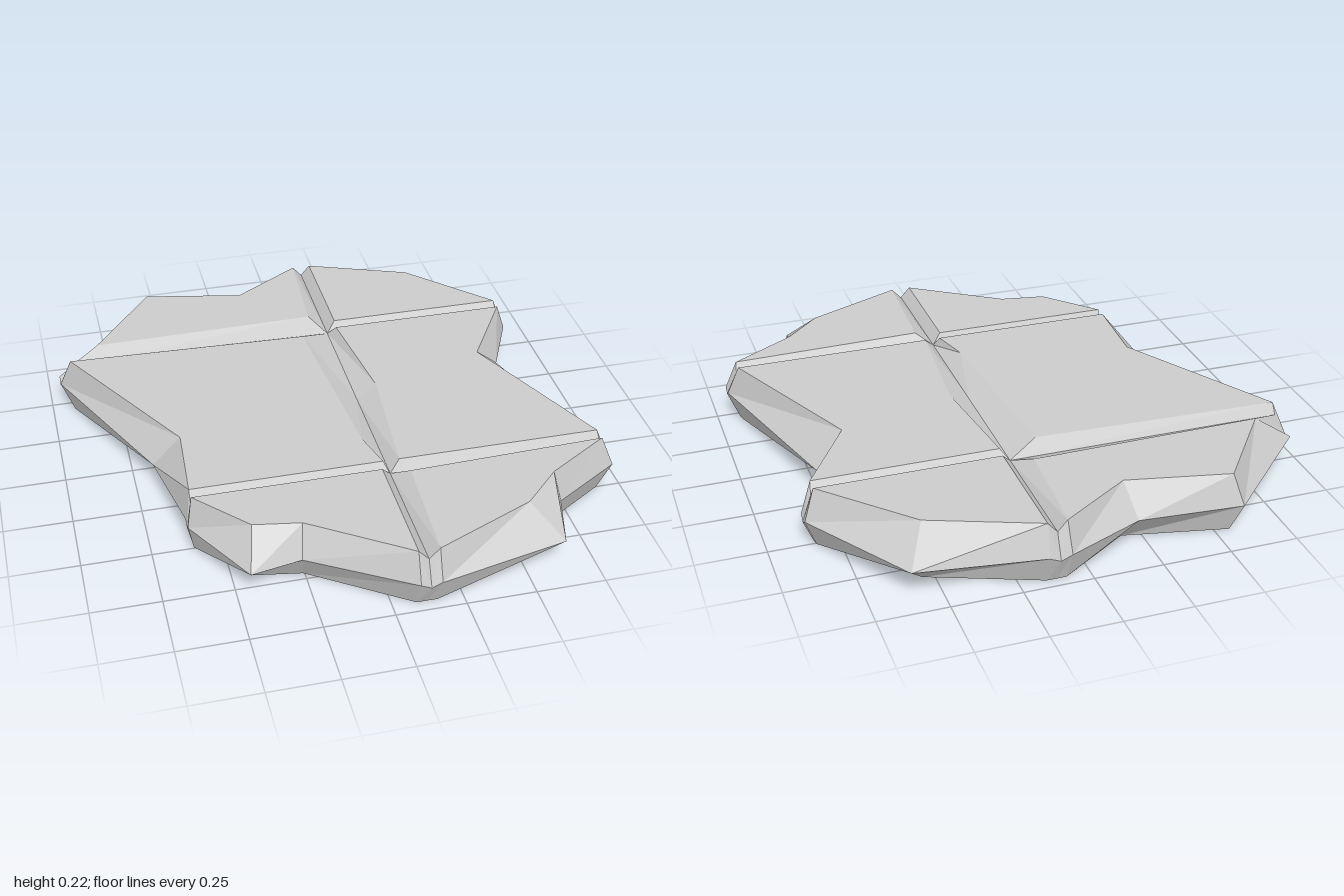
import * as THREE from 'three';

const TOP = 0.225, MID = 0.112, NOTCH = 0.095, GROOVE = 0.185;
const material = new THREE.MeshStandardMaterial({ color: 0xcccccc, flatShading: true });

// Rim corners, clockwise from above: x, z at mid height, then x, z of the bevelled top corner
const rims = {
  backRight: [[0.16, -1, 0.155, -0.96], [0.61, -0.935, 0.54, -0.81], [0.87, -0.53, 0.83, -0.505]],
  middleRight: [[0.87, -0.47, 0.83, -0.455], [0.755, -0.22, 0.645, -0.15], [0.955, 0.47, 0.91, 0.45]],
  frontRight: [[0.955, 0.52, 0.91, 0.5], [0.695, 0.68, 0.67, 0.65], [0.635, 0.895, 0.53, 0.79], [0.16, 1, 0.16, 0.955]],
  frontLeft: [[0.085, 1, 0.085, 0.955], [-0.27, 0.78, -0.255, 0.72], [-0.455, 0.815, -0.425, 0.69], [-0.62, 0.52, -0.6, 0.495]],
  middleLeft: [[-0.62, 0.47, -0.6, 0.45], [-0.685, 0.13, -0.58, 0.14], [-0.96, -0.475, -0.915, -0.455]],
  backLeft: [[-0.96, -0.53, -0.8, -0.545], [-0.585, -0.91, -0.555, -0.87], [-0.205, -0.88, -0.18, -0.79], [0.08, -1, 0.085, -0.96]],
};

// Groove ends: x, z on the rim, then x, z where the groove floor begins
const ends = {
  back: [0.12, -1, 0.12, -0.96],
  rightBack: [0.872, -0.5, 0.835, -0.48],
  rightFront: [0.955, 0.495, 0.915, 0.475],
  front: [0.122, 1, 0.122, 0.955],
  leftFront: [-0.62, 0.495, -0.6, 0.475],
  leftBack: [-0.96, -0.5, -0.915, -0.48],
};

// Panels: rim, first and last groove end, inner corners (groove floor x, z; top x, z)
const panels = [
  ['backRight', 'back', 'rightBack', [[0.12, -0.48, 0.155, -0.505]]],
  ['middleRight', 'rightBack', 'rightFront', [[0.12, 0.475, 0.16, 0.45], [0.12, 0, 0.2, -0.03], [0.12, -0.48, 0.15, -0.455]]],
  ['frontRight', 'rightFront', 'front', [[0.12, 0.475, 0.18, 0.525]]],
  ['frontLeft', 'front', 'leftFront', [[0.12, 0.475, 0.085, 0.495]]],
  ['middleLeft', 'leftFront', 'leftBack', [[0.12, -0.48, 0.005, -0.42], [0.12, 0, 0.06, 0.3], [0.12, 0.475, 0.1, 0.45]]],
  ['backLeft', 'leftBack', 'back', [[0.12, -0.48, 0.06, -0.56]]],
];

const v = (x, y, z) => new THREE.Vector3(x, y, z);

// Loft between two clockwise rings, with a flat cap on the upper or lower one
function loft(name, lower, upper, capTop) {
  const positions = [];
  const tri = (a, b, c) => {
    const area = b.clone().sub(a).cross(c.clone().sub(a)).length();
    if (area > 1e-7) for (const p of [a, b, c]) positions.push(p.x, p.y, p.z);
  };
  lower.forEach((a, i) => {
    const j = (i + 1) % lower.length;
    tri(lower[j], a, upper[i]);
    tri(lower[j], upper[i], upper[j]);
  });
  const ring = (capTop ? upper : lower).filter((p, i, r) => p.distanceTo(r[(i + 1) % r.length]) > 1e-6);
  const flat = ring.map(p => new THREE.Vector2(p.x, p.z));
  for (const [a, b, c] of THREE.ShapeUtils.triangulateShape(flat, [])) {
    const up = flat[b].clone().sub(flat[a]).cross(flat[c].clone().sub(flat[a])) < 0;
    if (up === capTop) tri(ring[a], ring[b], ring[c]);
    else tri(ring[a], ring[c], ring[b]);
  }
  const geometry = new THREE.BufferGeometry();
  geometry.setAttribute('position', new THREE.Float32BufferAttribute(positions, 3));
  geometry.computeVertexNormals();
  const mesh = new THREE.Mesh(geometry, material);
  mesh.name = name;
  return mesh;
}

export function createModel() {
  const group = new THREE.Group();
  group.name = 'crackedStoneSlab';
  const baseLower = [], baseUpper = [];

  for (const [name, from, to, inner] of panels) {
    const rim = rims[name], a = ends[from], b = ends[to];
    const lower = [], upper = [];
    const add = (x, y, z, tx, tz) => {
      lower.push(v(x, y, z));
      upper.push(v(tx, TOP, tz));
    };
    const first = rim[0].slice(2), last = rim[rim.length - 1].slice(2);

    // Raised panel: around the rim, then back along the grooves
    add(a[0], NOTCH, a[1], ...first);
    for (const [x, z, tx, tz] of rim) add(x, MID, z, tx, tz);
    add(b[0], NOTCH, b[1], ...last);
    add(b[2], GROOVE, b[3], ...last);
    for (const [x, z, tx, tz] of inner) add(x, GROOVE, z, tx, tz);
    add(a[2], GROOVE, a[3], ...first);
    group.add(loft(name + 'Panel', lower, upper, true));

    // Matching stretch of the undercut base
    baseUpper.push(v(a[0], NOTCH, a[1]));
    baseLower.push(v(a[2], 0, a[3]));
    for (const [x, z, tx, tz] of rim) {
      baseUpper.push(v(x, MID, z));
      // The wide groove flare at the left exists only on top
      baseLower.push(tx === -0.8 ? v(-0.915, 0, -0.505) : v(tx, 0, tz));
    }
  }
  group.add(loft('base', baseLower, baseUpper, false));
  return group;
}
